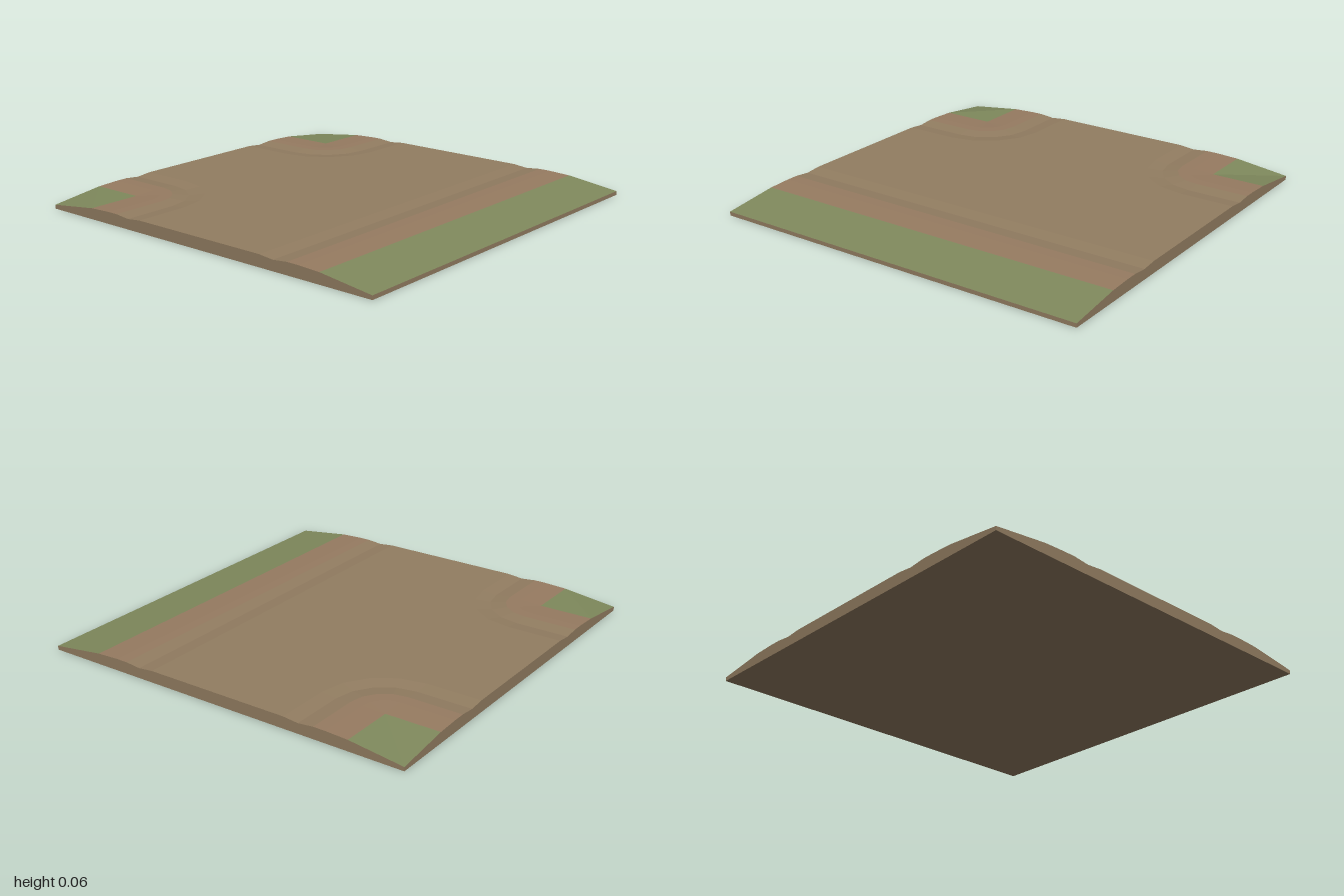
import * as THREE from 'three';

// Height of the ground at each distance from the middle of the tile
const PROFILE = [[0.38, 0.06], [0.46, 0.052], [0.54, 0.06], [0.6, 0.06], [0.72, 0.055], [1, 0.02]];
const RUT = PROFILE.slice(0, 3);
const SHOULDER = PROFILE.slice(2, 5);
const GRASS = PROFILE.slice(4);
const BEND = 0.72; // centre of the rounded bends
const ROAD_Y = 0.06;

const material = (color) => new THREE.MeshStandardMaterial({ color, flatShading: true, roughness: 1 });
const dirt = material(0x927d61);
const verge = material(0x967b61);
const grass = material(0x7f895c);

function addMesh(group, name, geometry, mat) {
  const mesh = new THREE.Mesh(geometry, mat);
  mesh.name = name;
  group.add(mesh);
  return mesh;
}

// Skin rows of [x, y, z] points with quads
function loft(rows) {
  const n = rows[0].length;
  const index = [];
  for (let i = 0; i < rows.length - 1; i++) {
    for (let j = 0; j < n - 1; j++) {
      const a = i * n + j, b = a + n;
      index.push(a, b, b + 1, a, b + 1, a + 1);
    }
  }
  const geometry = new THREE.BufferGeometry();
  geometry.setAttribute('position', new THREE.Float32BufferAttribute(rows.flat(2), 3));
  geometry.setIndex(index);
  geometry.computeVertexNormals();
  return geometry;
}

// Straight strip along the front
const frontRow = ([d, y]) => [[-1, y, d], [1, y, d]];

// Line around a back corner: side edge, bend, back edge
function bendRow([d, y], side) {
  const r = BEND - d, steps = 4;
  const row = [[1, y, -d]];
  for (let i = 0; i <= steps; i++) {
    const t = (i / steps) * Math.PI / 2;
    row.push([BEND - r * Math.sin(t), y, -BEND + r * Math.cos(t)]);
  }
  row.push([d, y, -1]);
  return side > 0 ? row : row.map(([x, h, z]) => [-x, h, z]).reverse();
}

export function createModel() {
  const group = new THREE.Group();
  group.name = 'roadJunctionTile';

  // Flat road surface between the ruts
  const inner = PROFILE[0];
  const outline = [...frontRow(inner), ...bendRow(inner, 1), ...bendRow(inner, -1)]
    .map(([x, , z]) => new THREE.Vector2(x, -z));
  const road = new THREE.ShapeGeometry(new THREE.Shape(outline));
  road.rotateX(-Math.PI / 2).translate(0, ROAD_Y, 0);
  addMesh(group, 'roadSurface', road, dirt);

  // Straight rut, shoulder and grass along the front
  addMesh(group, 'frontRut', loft(RUT.map(frontRow)), dirt);
  addMesh(group, 'frontShoulder', loft(SHOULDER.map(frontRow)), verge);
  addMesh(group, 'frontGrass', loft(GRASS.map(frontRow)), grass);

  // Curved rut, shoulder and grass at both back corners
  for (const [side, label] of [[1, 'left'], [-1, 'right']]) {
    addMesh(group, label + 'BendRut', loft(RUT.map((p) => bendRow(p, side))), dirt);
    addMesh(group, label + 'BendShoulder', loft(SHOULDER.map((p) => bendRow(p, side))), verge);
    const [[near, high], [far, low]] = GRASS;
    const xs = side > 0 ? [near, far] : [-far, -near];
    const corner = xs.map((x) => [
      [x, high, -near],
      [x, Math.abs(x) === far ? low : high, -far],
    ]);
    addMesh(group, label + 'CornerGrass', loft(corner), grass);
  }

  // Cut earth walls following the ground profile
  const top = PROFILE.slice().reverse();
  const section = new THREE.Shape([
    [-1, 0], [1, 0], ...top, ...PROFILE.map(([d, y]) => [-d, y]),
  ].map(([x, y]) => new THREE.Vector2(x, y)));
  const walls = [['leftWall', Math.PI / 2], ['rightWall', -Math.PI / 2], ['backWall', Math.PI]];
  for (const [name, angle] of walls) {
    const wall = new THREE.ShapeGeometry(section).translate(0, 0, 1).rotateY(angle);
    addMesh(group, name, wall, dirt);
  }
  const edge = GRASS[1][1];
  addMesh(group, 'frontWall', new THREE.PlaneGeometry(2, edge).translate(0, edge / 2, 1), dirt);

  // Underside
  addMesh(group, 'underside', new THREE.PlaneGeometry(2, 2).rotateX(Math.PI / 2), dirt);
  return group;
}
